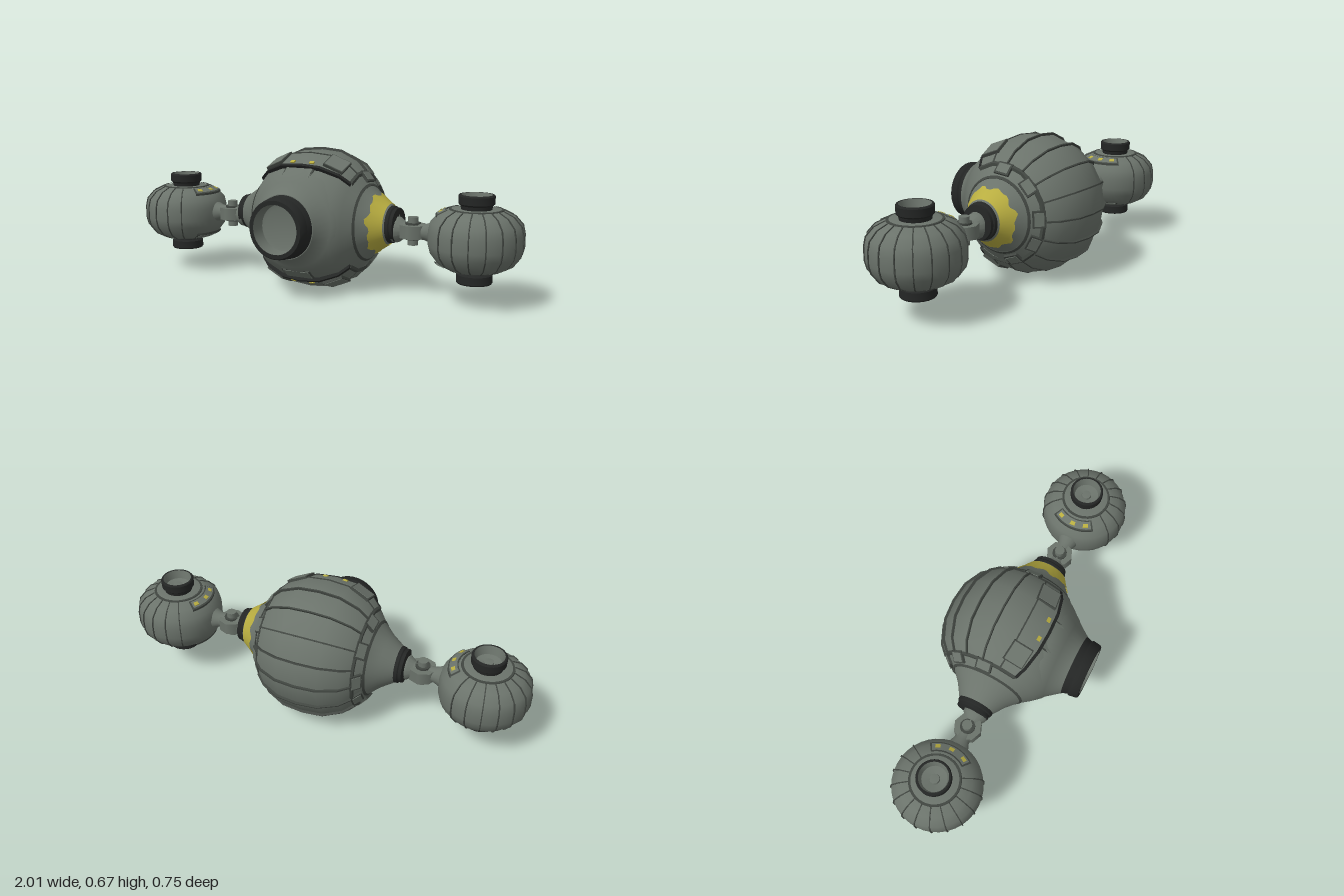
import * as THREE from 'three';
import { toCreasedNormals } from 'three/addons/utils/BufferGeometryUtils.js';

const mat = (name, color, side = THREE.FrontSide) => {
  const m = new THREE.MeshStandardMaterial({ color, side });
  m.name = name;
  return m;
};
const RAD = Math.PI / 180;

export function createModel() {
  const grey = mat('hull grey', 0x6b736b, THREE.DoubleSide);
  const dark = mat('dark metal', 0x242625, THREE.DoubleSide);
  const trim = mat('seam grey', 0x414641);
  const yellow = mat('warning yellow', 0xb8ad40, THREE.DoubleSide);

  const add = (parent, name, geo, material) => {
    const m = new THREE.Mesh(geo, material);
    m.name = name;
    parent.add(m);
    return m;
  };
  const group = (parent, name, x = 0, y = 0, z = 0) => {
    const g = new THREE.Group();
    g.name = name;
    g.position.set(x, y, z);
    parent.add(g);
    return g;
  };
  // revolve [radius, height] points about y; angles in degrees
  const lathe = (pts, segs = 36, start = 0, len = 360) => toCreasedNormals(
    new THREE.LatheGeometry(pts.map(p => new THREE.Vector2(...p)), segs, start * RAD, len * RAD), 0.6);
  const aboutX = g => g.rotateZ(-Math.PI / 2);
  // thin upright rib: a strip following points, lifted out by `out` and sunk by `sink`
  const rib = (outer, inner, thick) => {
    const s = new THREE.Shape([...outer, ...inner.slice().reverse()].map(p => new THREE.Vector2(...p)));
    return new THREE.ExtrudeGeometry(s, { depth: thick, bevelEnabled: false }).translate(0, 0, -thick / 2);
  };

  const root = new THREE.Group();
  root.name = 'triplePodCraft';

  // ---- main hull, revolved about x
  const hull = group(root, 'mainHull', 0, 0.325, -0.03);
  const half = [[0.318, 0], [0.306, 0.1], [0.268, 0.19], [0.225, 0.232], [0.178, 0.27],
    [0.172, 0.275], [0.128, 0.325], [0.088, 0.385], [0.08, 0.395]];
  const mirrorPts = h => [...h.slice(1).reverse().map(([r, x]) => [r, -x]), ...h];
  add(hull, 'hullBody', aboutX(lathe(mirrorPts(half))), grey);

  // armour shell, open toward the front
  const shellHalf = [[0.33, 0], [0.321, 0.1], [0.281, 0.19], [0.236, 0.236], [0.215, 0.23]];
  const A0 = -34, STEP = 248 / 12;
  add(hull, 'armourShell', aboutX(lathe(mirrorPts(shellHalf), 12, 56, 248)), grey);
  const edge = mirrorPts(shellHalf.slice(0, 4)).map(([r, x]) => [x, r]);
  const offset = d => edge.map(([x, r]) => [x * (1 + d * 0.8), r + d]);
  const shellRib = (name, a, geo, material) => { add(hull, name, geo, material).rotation.x = -a * RAD; };
  for (let k = 1; k < 12; k++) {
    const proud = k >= 2 && k <= 8 ? 0.011 : 0.003;
    shellRib('shellRib', A0 + STEP * k, rib(offset(proud), offset(-0.015), 0.007), trim);
  }
  for (const a of [A0, 180 - A0])
    shellRib('shellFrontEdge', a, rib(offset(0.003), offset(-0.045), 0.014), dark);

  // place a plate on the hull at side position x, radius r, angle a back from the top
  const plate = (name, x, r, a, tilt, w, d, h, material) => {
    const pivot = group(hull, name + 'Mount');
    pivot.rotation.x = -a * RAD;
    const m = add(pivot, name, new THREE.BoxGeometry(w, h, d), material);
    m.position.set(x, r, 0);
    m.rotation.z = -tilt * RAD;
  };
  for (const s of [-1, 1]) {
    // shell side rim and seam ring
    const rim = [[0.225, 0.231], [0.243, 0.231], [0.236, 0.242], [0.222, 0.242]];
    const seam = [[0.177, 0.268], [0.183, 0.269], [0.173, 0.278], [0.168, 0.274]];
    const sided = p => s > 0 ? p : p.map(([r, x]) => [r, -x]).reverse();
    add(hull, 'shellSideRim', aboutX(lathe(sided(rim), 12, 56, 248)), trim);
    add(hull, 'endSeamRing', aboutX(lathe(sided(seam))), trim);
    // latches below the shell rim
    for (const a of [5, 46, 87, 120, 160]) {
      plate('latchFrame', s * 0.249, 0.214, a, s * 49, 0.06, 0.078, 0.012, trim);
      plate('latchPanel', s * 0.251, 0.216, a, s * 49, 0.044, 0.062, 0.012, grey);
    }
    // hatches near the front corners, above and below
    for (const a of [-21, 201]) {
      plate('hatchFrame', s * 0.155, 0.296, a, s * 24, 0.1, 0.1, 0.014, trim);
      plate('hatchPanel', s * 0.156, 0.298, a, s * 24, 0.09, 0.09, 0.014, grey);
    }
    for (const a of [-29, 209]) plate('shellMark', s * 0.05, 0.324, a, s * 5, 0.022, 0.016, 0.008, yellow);
    // dark end collar
    add(hull, 'endCollar', aboutX(lathe(sided([[0.07, 0.38], [0.088, 0.385], [0.086, 0.4],
      [0.08, 0.405], [0.08, 0.42], [0.05, 0.424]]))), dark);
  }
  for (const a of [-40, 220]) {
    plate('frontLipFrame', 0, 0.306, a, 0, 0.15, 0.075, 0.014, trim);
    plate('frontLip', 0, 0.309, a, 0, 0.136, 0.062, 0.014, grey);
  }

  // worn yellow band on the left end
  const band = lathe([[0.139, 0.321], [0.131, 0.329], [0.096, 0.38]], 48);
  const p = band.attributes.position;
  for (let i = 0; i < p.count; i++) {
    if (p.getY(i) > 0.325) continue;
    const a = Math.atan2(p.getX(i), p.getZ(i));
    const t = 0.006 * (Math.sin(a * 7) + Math.sin(a * 12 + 1));
    const k = 1 - t * 6;
    p.setXYZ(i, p.getX(i) * k, p.getY(i) + t, p.getZ(i) * k);
  }
  add(hull, 'yellowBand', aboutX(band), yellow);

  // ---- front cone, collar and recessed port, revolved about z
  const front = group(root, 'frontPort', 0, 0.33, 0);
  const aboutZ = g => g.rotateX(Math.PI / 2);
  add(front, 'frontCone', aboutZ(lathe([[0.28, 0.1], [0.243, 0.175], [0.205, 0.228], [0.2, 0.23],
    [0.156, 0.287], [0.15, 0.297], [0.12, 0.297]])), grey);
  add(front, 'frontCollar', aboutZ(lathe([[0.148, 0.29], [0.146, 0.3], [0.137, 0.325], [0.143, 0.333],
    [0.137, 0.37], [0.132, 0.376], [0.113, 0.376]])), dark);
  add(front, 'portRecess', aboutZ(lathe([[0.113, 0.376], [0.107, 0.31], [0.09, 0.305], [0, 0.305]])), grey);

  // ---- side pods with their joints; built for the left, turned round for the right
  const podPts = [[0.06, 0.163], [0.118, 0.166], [0.165, 0.19], [0.199, 0.235], [0.208, 0.27],
    [0.208, 0.33], [0.199, 0.37], [0.165, 0.408], [0.118, 0.43], [0.06, 0.432]];
  const grow = d => podPts.slice(1, -1).map(([r, y]) => [r + d, 0.3 + (y - 0.3) * (1 + d * 2)]);
  const nozzle = [[0.066, 0.425], [0.07, 0.448], [0.079, 0.456], [0.08, 0.49], [0.076, 0.496], [0.068, 0.496]];
  const cup = [[0.068, 0.496], [0.058, 0.455], [0.024, 0.448], [0.022, 0.46], [0, 0.462]];
  for (const side of [1, -1]) {
    const arm = group(root, side > 0 ? 'leftArm' : 'rightArm', 0, 0, -0.02);
    if (side < 0) arm.rotation.y = Math.PI;
    if (side < 0) arm.position.z = -0.015;

    // joint between hull and pod
    const joint = group(arm, 'joint', 0, 0.307, 0);
    add(joint, 'neck', aboutX(lathe([[0.062, 0.4], [0.058, 0.43], [0.04, 0.455], [0.036, 0.53],
      [0.038, 0.56], [0.055, 0.6]], 16)), grey);
    add(joint, 'jointDisc', new THREE.CylinderGeometry(0.066, 0.066, 0.06, 8), grey).position.x = 0.495;
    add(joint, 'jointPin', new THREE.CylinderGeometry(0.024, 0.024, 0.13, 12), grey).position.x = 0.495;
    for (const y of [-0.034, 0.034])
      add(joint, 'jointRing', new THREE.CylinderGeometry(0.036, 0.036, 0.01, 12), trim).position.set(0.495, y, 0);

    const pod = group(arm, 'pod', 0.79, 0, 0);
    add(pod, 'podBody', lathe(podPts, 36), grey);
    for (let k = -6; k <= 6; k++)
      add(pod, 'podRib', rib(grow(0.005), grow(-0.01), 0.005), trim).rotation.y = k * 20 * RAD;

    for (const up of [1, -1]) {
      // nozzles and lamp trays, above and below
      const end = group(pod, up > 0 ? 'upperEnd' : 'lowerEnd', 0, up > 0 ? 0 : 0.597, 0);
      if (up < 0) end.rotation.x = Math.PI;
      add(end, 'nozzle', lathe(nozzle, 28), dark);
      add(end, 'nozzleCup', lathe(cup, 28), grey);
      add(end, 'nozzleSeam', lathe([[0.12, 0.427], [0.118, 0.434], [0.108, 0.434]], 36), trim);
      const tray = (name, r0, r1, lift, a, w, material) => {
        const y = r => 0.43 - (r - 0.118) * 0.47 + lift;
        add(end, name, lathe([[r1, y(r1) - lift - 0.006], [r1, y(r1)], [r0, y(r0)], [r0, y(r0) - lift - 0.006]],
          8, 270 + a - w / 2, w), material);
      };
      tray('lampTrayFrame', 0.13, 0.176, 0.004, 0, 74, trim);
      tray('lampTray', 0.136, 0.17, 0.007, 0, 68, grey);
      if (up > 0) for (const a of [-26, 0, 24]) tray('lamp', 0.147, 0.163, 0.01, a, 9, yellow);
    }
  }
  return root;
}
